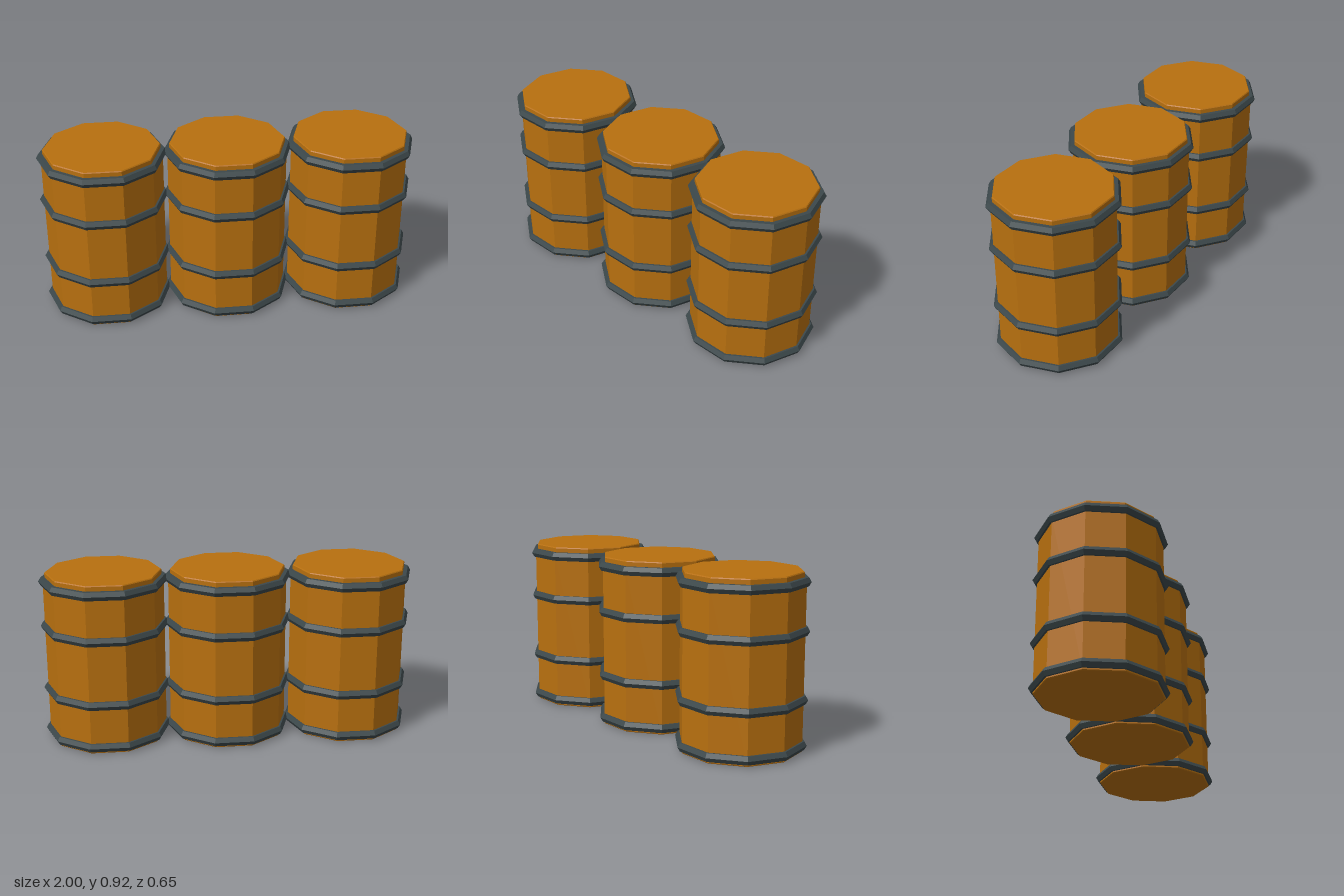
import * as THREE from 'three';

const SIDES = 10;
const SPACING = 0.659;
const HOOP_HEIGHTS = [0.034, 0.27, 0.62, 0.865];

export function createModel() {
  const model = new THREE.Group();
  model.name = 'barrelRow';

  const ochre = new THREE.MeshStandardMaterial({ color: 0xb8700f, flatShading: true });
  ochre.name = 'ochre paint';
  const steel = new THREE.MeshStandardMaterial({ color: 0x3c484b, flatShading: true });
  steel.name = 'dark steel';

  // Ten-sided solid from a radius/height profile, with a corner on the x axis
  const turned = (profile) => new THREE.LatheGeometry(
    profile.map(([r, y]) => new THREE.Vector2(r, y)), SIDES).rotateY(Math.PI / 2);

  const bodyGeometry = turned([[0, 0], [0.314, 0], [0.318, 0.004], [0.318, 0.875], [0, 0.875]]);
  const lidGeometry = turned([[0, 0.86], [0.307, 0.86], [0.307, 0.91], [0.303, 0.915], [0, 0.915]]);
  // Hexagonal hoop section, pointing outwards
  const hoopGeometry = new THREE.TorusGeometry(0.315, 0.026, 6, SIDES).rotateX(Math.PI / 2);

  const add = (parent, name, geometry, material, y = 0) => {
    const mesh = new THREE.Mesh(geometry, material);
    mesh.name = name;
    mesh.position.y = y;
    parent.add(mesh);
  };

  // Three identical barrels side by side
  ['rightBarrel', 'middleBarrel', 'leftBarrel'].forEach((name, i) => {
    const barrel = new THREE.Group();
    barrel.name = name;
    barrel.position.x = (i - 1) * SPACING;
    add(barrel, 'body', bodyGeometry, ochre);
    add(barrel, 'lid', lidGeometry, ochre);
    HOOP_HEIGHTS.forEach((y, k) => add(barrel, `hoop${k + 1}`, hoopGeometry, steel, y));
    model.add(barrel);
  });

  return model;
}
